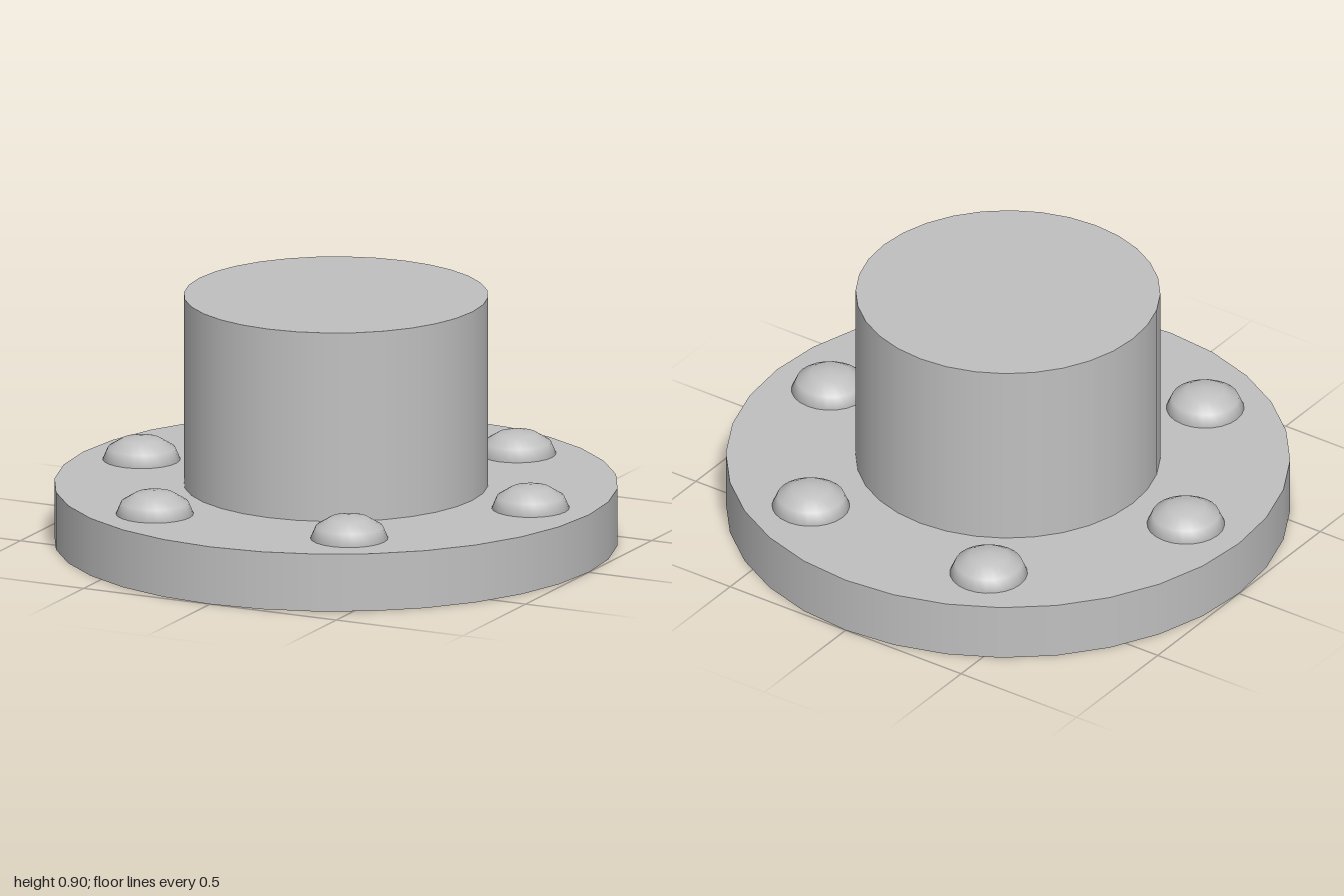
import * as THREE from 'three';

export function createModel() {
  const model = new THREE.Group();
  model.name = 'flangedHub';
  const steel = new THREE.MeshStandardMaterial({ color: 0xc0c0c0 });
  steel.name = 'steel grey';

  const add = (name, geometry, x, y, z) => {
    const mesh = new THREE.Mesh(geometry, steel);
    mesh.name = name;
    mesh.position.set(x, y, z);
    model.add(mesh);
    return mesh;
  };

  // Round base plate and the solid hub standing on it
  const plateTop = 0.21, hubTop = 0.9;
  add('basePlate', new THREE.CylinderGeometry(1, 1, plateTop, 32), 0, plateTop / 2, 0);
  const hubHeight = hubTop - plateTop;
  add('hub', new THREE.CylinderGeometry(0.54, 0.54, hubHeight, 32), 0, plateTop + hubHeight / 2, 0);

  // Six flattened dome bolt heads around the plate
  const dome = new THREE.SphereGeometry(0.138, 24, 3, 0, Math.PI * 2, 0, Math.PI / 2);
  dome.scale(1, 0.085 / 0.138, 1);
  for (let i = 0; i < 6; i++) {
    const a = (i / 6) * Math.PI * 2;
    add('boltHead' + (i + 1), dome, 0.77 * Math.cos(a), plateTop, 0.77 * Math.sin(a));
  }
  return model;
}
